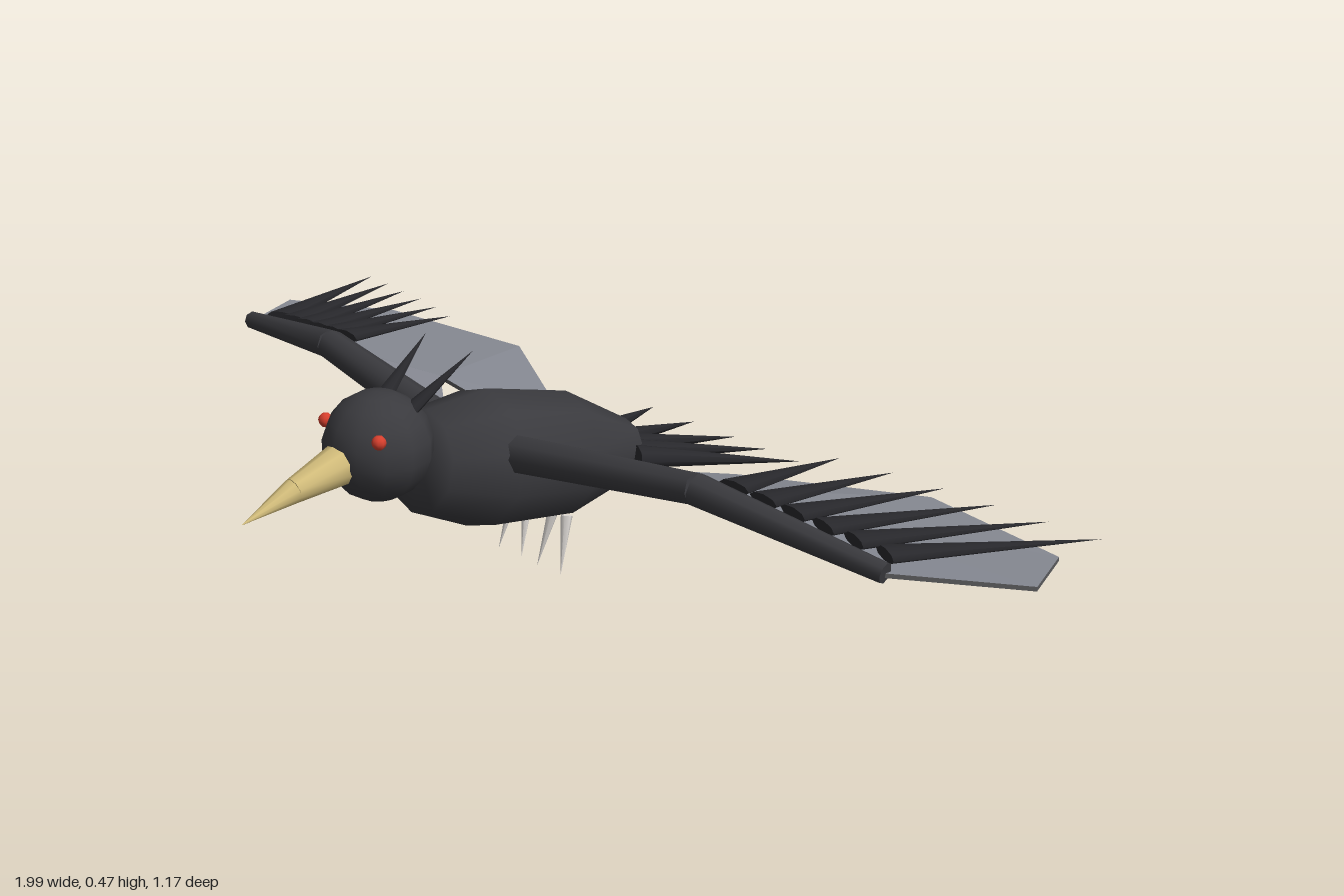
import * as THREE from 'three';

const make = (name, color, extra = {}) => {
  const m = new THREE.MeshStandardMaterial({ color, ...extra });
  m.name = name;
  return m;
};
const V = (x, y, z) => new THREE.Vector3(x, y, z);

// Surface from a flat list of triangle corners
const surface = (pos) => {
  const g = new THREE.BufferGeometry();
  g.setAttribute('position', new THREE.Float32BufferAttribute(pos, 3));
  g.computeVertexNormals();
  return g;
};

export function createModel() {
  const plumage = make('charcoal plumage', 0x3a3a3e);
  const feather = make('dark feather', 0x28282c);
  const webTop = make('grey wing top', 0x868992, { side: THREE.DoubleSide });
  const webUnder = make('dark wing underside', 0x5a5a5c, { side: THREE.DoubleSide });
  const horn = make('beak tan', 0xd4be7c);
  const red = make('eye red', 0xd8402e);
  const bone = make('claw ivory', 0xe2deda);

  const bird = new THREE.Group();
  bird.name = 'bird';

  const add = (name, geometry, material, parent = bird) => {
    const mesh = new THREE.Mesh(geometry, material);
    mesh.name = name;
    parent.add(mesh);
    return mesh;
  };

  // Stand a +y geometry on point a, aimed at b, keeping its x axis level
  const aim = (geometry, a, b) => {
    const y = b.clone().sub(a).normalize();
    const x = y.clone().cross(V(0, 1, 0)).normalize();
    const z = x.clone().cross(y);
    return geometry.applyMatrix4(new THREE.Matrix4().makeBasis(x, y, z).setPosition(a));
  };

  // Tapered rod or spike from a to b; flat squashes its thickness
  const rod = (name, material, a, b, ra, rb, flat = 1, sides = 8, parent = bird) => {
    const length = a.distanceTo(b);
    const g = new THREE.CylinderGeometry(rb, ra, length, sides);
    g.translate(0, length / 2, 0).scale(1, 1, flat);
    return add(name, aim(g, a, b), material, parent);
  };

  // Body: faceted barrel tilted nose up
  const profile = [[0, 0], [0.058, 0], [0.058, 0], [0.117, 0.168], [0.127, 0.36],
    [0.093, 0.495], [0, 0.495]].map(([r, t]) => new THREE.Vector2(r, t));
  add('body', aim(new THREE.LatheGeometry(profile, 10), V(0, 0.167, -0.275), V(0, 0.264, 0.21)), plumage);

  // Head and slightly hooked beak
  add('head', new THREE.SphereGeometry(0.098, 12, 9), plumage).position.set(0, 0.317, 0.3);
  const bend = V(0, 0.279, 0.48);
  rod('beakBase', horn, V(0, 0.305, 0.37), bend, 0.039, 0.022, 1, 10);
  rod('beakTip', horn, bend, V(0, 0.246, 0.587), 0.022, 0.0005, 1, 10);

  for (const s of [1, -1]) {
    const side = s > 0 ? 'left' : 'right';
    const P = (x, y, z) => V(s * x, y, z);

    add(side + 'Eye', new THREE.SphereGeometry(0.013, 8, 6), red).position.copy(P(0.074, 0.355, 0.355));
    rod(side + 'Crest', feather, P(0.038, 0.38, 0.26), P(0.064, 0.468, 0.14), 0.02, 0, 0.5);

    // Claws
    rod(side + 'OuterClaw', bone, P(0.072, 0.108, -0.073), P(0.086, 0, -0.046), 0.011, 0, 1, 6);
    rod(side + 'InnerClaw', bone, P(0.036, 0.108, -0.073), P(0.022, 0, -0.046), 0.011, 0, 1, 6);

    // Wing arm
    const wing = new THREE.Group();
    wing.name = side + 'Wing';
    bird.add(wing);
    const shoulder = P(0.06, 0.266, 0.073);
    const elbow = P(0.495, 0.313, 0.026);
    const wrist = P(0.85, 0.26, -0.042);
    rod('upperArm', plumage, shoulder, elbow, 0.036, 0.029, 1, 8, wing);
    rod('forearm', plumage, elbow, wrist, 0.029, 0.018, 1, 8, wing);

    // Wing web: a fan around the notch, grey above and dark below
    const notch = P(0.395, 0.233, -0.162);
    const rim = [P(0.144, 0.262, 0.03), elbow, wrist, P(0.995, 0.228, -0.24),
      P(0.888, 0.189, -0.438), P(0.556, 0.177, -0.506), P(0.246, 0.174, -0.33), P(0.09, 0.176, -0.187)];
    const web = (drop) => {
      const pos = [];
      for (let i = 0; i + 1 < rim.length; i++) {
        const pair = s > 0 ? [rim[i], rim[i + 1]] : [rim[i + 1], rim[i]];
        for (const p of [notch, ...pair]) pos.push(p.x, p.y - drop, p.z);
      }
      return surface(pos);
    };
    add('webTop', web(0), webTop, wing);
    add('webUnderside', web(0.008), webUnder, wing);

    // Thin edge closing the two web faces
    const loop = [notch, ...rim];
    const edge = [];
    loop.forEach((a, i) => {
      const b = loop[(i + 1) % loop.length];
      const [a2, b2] = [a, b].map((p) => V(p.x, p.y - 0.008, p.z));
      for (const p of [a, a2, b, b, a2, b2]) edge.push(p.x, p.y, p.z);
    });
    add('webEdge', surface(edge), webUnder, wing);

    // Flight feathers along the forearm
    for (let i = 0; i < 6; i++) {
      const t = i / 5;
      const mix = (a, b) => a + (b - a) * t;
      rod('flightFeather' + (i + 1), feather,
        P(mix(0.525, 0.81), mix(0.31, 0.268), mix(-0.033, -0.085)),
        P(mix(0.523, 0.968), mix(0.295, 0.246), -0.294 - 0.146 * Math.pow(t, 0.85)),
        0.034, 0, 0.3, 8, wing);
    }
  }

  // Tail fan
  for (let i = -2; i <= 2; i++) {
    const k = Math.abs(i);
    rod('tailFeather' + (i + 3), feather,
      V(i * 0.034, 0.178, -0.272 + k * 0.012),
      V(i * 0.1, 0.115 + k * 0.007, -0.58 + k * 0.014), 0.034, 0, 0.6);
  }
  return bird;
}
